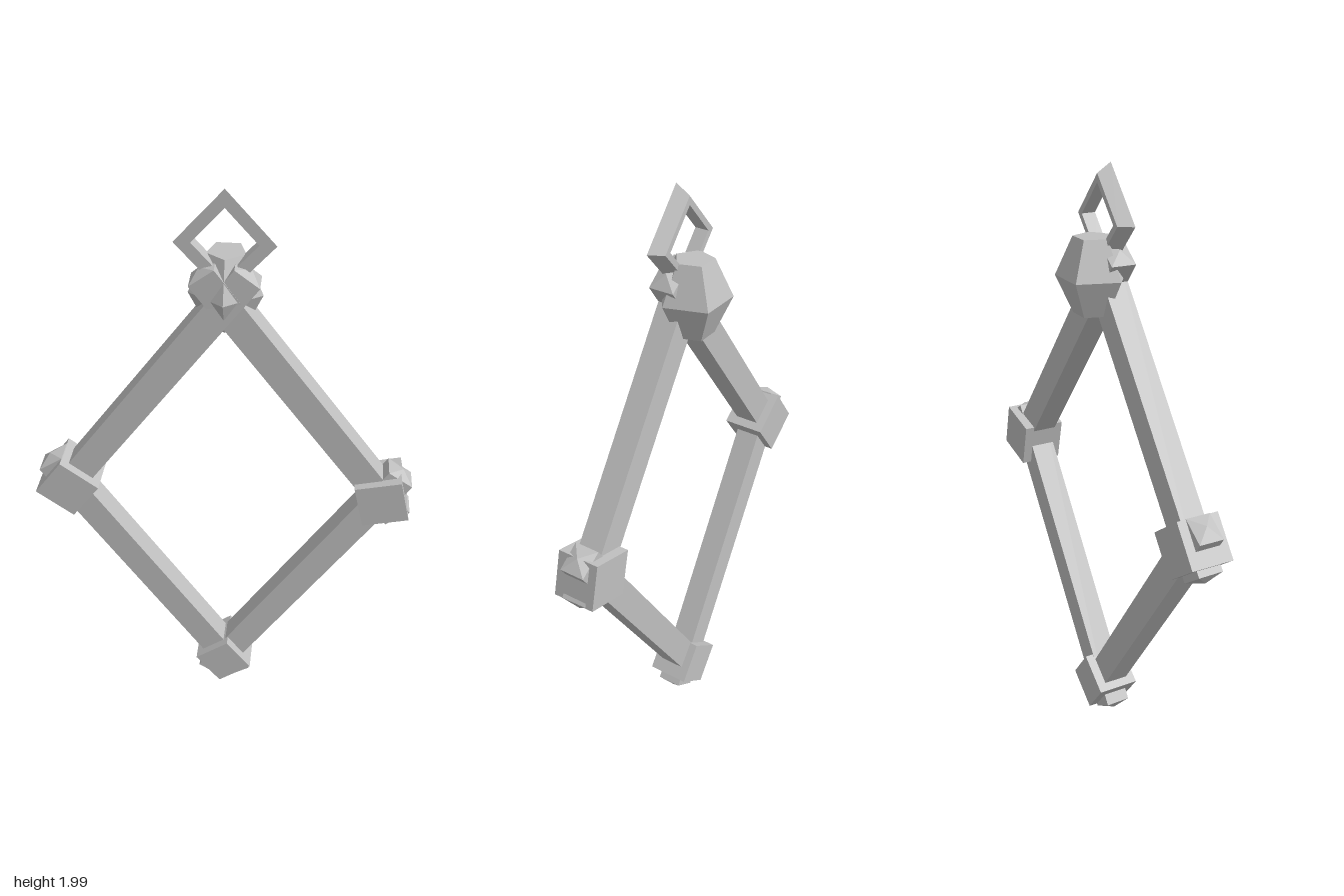
import * as THREE from 'three';

const metal = new THREE.MeshStandardMaterial({ color: 0xc0c0c0, flatShading: true });
metal.name = 'plain grey';

function part(name, geometry, parent) {
  const flat = geometry.index ? geometry.toNonIndexed() : geometry;
  flat.computeVertexNormals();
  const mesh = new THREE.Mesh(flat, metal);
  mesh.name = name;
  parent.add(mesh);
  return mesh;
}

// Square bar running through two joints, with a shallow pyramid on each end
function bar(name, a, b, overA, overB, parent) {
  const W = 0.096, D = 0.086, TIP = 0.018;
  const dir = b.clone().sub(a).normalize();
  const start = a.clone().addScaledVector(dir, -overA);
  const end = b.clone().addScaledVector(dir, overB);
  const length = start.distanceTo(end);
  const side = new THREE.Vector3().crossVectors(dir, new THREE.Vector3(0, 0, 1)).normalize();
  const front = new THREE.Vector3().crossVectors(side, dir);

  const group = new THREE.Group();
  group.name = name;
  group.quaternion.setFromRotationMatrix(new THREE.Matrix4().makeBasis(side, dir, front));
  group.position.copy(start).add(end).multiplyScalar(0.5);
  part('shaft', new THREE.BoxGeometry(W, length, D), group);
  for (const s of [1, -1]) {
    const cone = new THREE.ConeGeometry(Math.SQRT1_2, TIP, 4, 1, true);
    cone.rotateY(Math.PI / 4).scale(W, 1, D);
    if (s < 0) cone.rotateX(Math.PI);
    part('pointedEnd', cone, group).position.y = s * (length / 2 + TIP / 2);
  }
  parent.add(group);
}

export function createModel() {
  const model = new THREE.Group();
  model.name = 'diamondFrame';

  // Corners of the frame
  const top = new THREE.Vector3(0, 1.64, 0.033);
  const bottom = new THREE.Vector3(0, 0.125, 0.033);
  const left = new THREE.Vector3(0.53, 0.925, 0.012);
  const right = new THREE.Vector3(-0.53, 0.93, 0.045);

  // Four crossing bars
  for (const [side, corner] of [['left', left], ['right', right]]) {
    bar(side + 'UpperBar', top, corner, 0.115, 0.1, model);
    bar(side + 'LowerBar', bottom, corner, 0.1, 0.1, model);
  }

  // Cube joints, each turned by its own angle
  for (const [name, at, size, degrees] of [
    ['bottomJoint', bottom, 0.145, 37],
    ['leftJoint', left, 0.156, 13.5],
    ['rightJoint', right, 0.155, -37],
  ]) {
    const cube = part(name, new THREE.BoxGeometry(size, size, 0.147), model);
    cube.position.copy(at);
    cube.rotation.z = THREE.MathUtils.degToRad(degrees);
  }

  // Five-sided faceted knot at the top
  const knot = [[0, -0.12], [0.064, -0.12], [0.121, 0], [0.064, 0.125], [0, 0.125]];
  part('topKnot', new THREE.LatheGeometry(knot.map(p => new THREE.Vector2(...p)), 5), model)
    .position.set(0, 1.655, -0.015);

  // Diamond hanging loop with a bevelled outer edge
  const section = [[0.14, 0], [0.17, 0.047], [0.112, 0.047], [0.112, 0], [0.14, 0]];
  const loop = new THREE.LatheGeometry(section.map(p => new THREE.Vector2(...p)), 4);
  loop.rotateX(Math.PI / 2).scale(0.9, 1, 1);
  part('hangingLoop', loop, model).position.set(0, 1.83, 0);

  return model;
}
